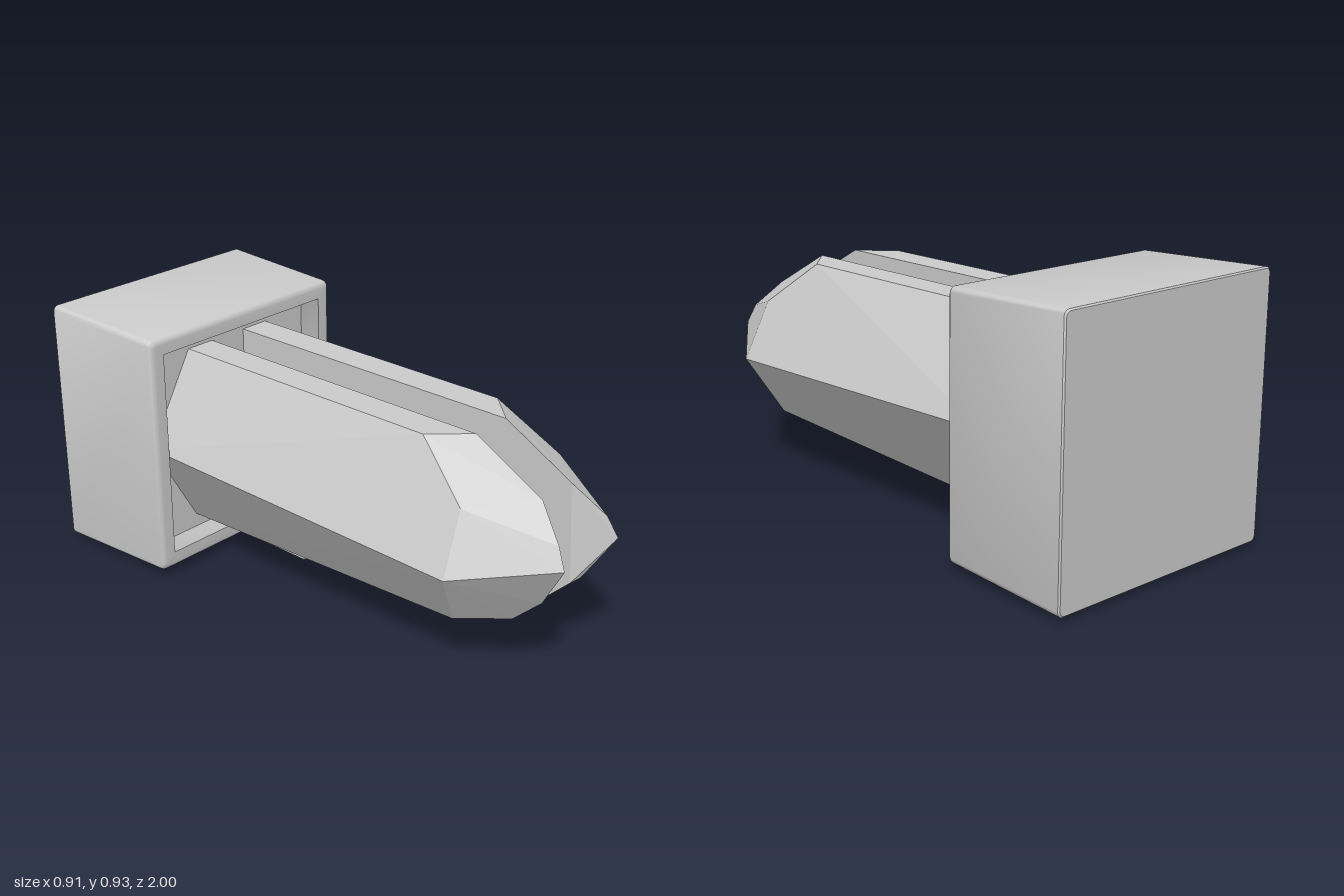
import * as THREE from 'three';
import { toCreasedNormals } from 'three/addons/utils/BufferGeometryUtils.js';
import { ConvexGeometry } from 'three/addons/geometries/ConvexGeometry.js';

const smooth = new THREE.MeshStandardMaterial({ color: 0xcccccc });
const faceted = new THREE.MeshStandardMaterial({ color: 0xcccccc, flatShading: true });

function addMesh(parent, name, geometry, material = smooth) {
  const mesh = new THREE.Mesh(geometry, material);
  mesh.name = name;
  parent.add(mesh);
  return mesh;
}

// Skin over a list of closed rings, each running anticlockwise as seen from +z
function loft(rings) {
  const n = rings[0].length;
  const index = [];
  for (let i = 0; i < rings.length - 1; i++) {
    for (let k = 0; k < n; k++) {
      const a = i * n + k, b = i * n + (k + 1) % n;
      index.push(a, b, a + n, b, b + n, a + n);
    }
  }
  const geometry = new THREE.BufferGeometry();
  geometry.setAttribute('position', new THREE.Float32BufferAttribute(rings.flat(2), 3));
  geometry.setIndex(index);
  return geometry;
}

// Square ring with rounded corners
function squareRing(z, half, radius) {
  const ring = [];
  for (let corner = 0; corner < 4; corner++) {
    const sx = corner === 0 || corner === 3 ? 1 : -1;
    const sy = corner < 2 ? 1 : -1;
    for (let s = 0; s <= 4; s++) {
      const t = (corner + s / 4) * Math.PI / 2;
      ring.push([
        sx * (half - radius) + radius * Math.cos(t),
        0.476 + sy * (half - radius) + radius * Math.sin(t),
        z,
      ]);
    }
  }
  return ring;
}

// Tapered block with a soft front rim and a shallow square recess
function housingGeometry() {
  const rings = [
    squareRing(-1, 0.0004, 0.0002),
    squareRing(-1, 0.45, 0.018),
    squareRing(-0.995, 0.455, 0.02),
  ];
  for (let s = 0; s <= 5; s++) {
    const t = s / 5 * Math.PI / 2;
    rings.push(squareRing(-0.52 + 0.02 * Math.sin(t), 0.418 + 0.022 * Math.cos(t), 0.02));
  }
  rings.push(
    squareRing(-0.5, 0.381, 0.0005),
    squareRing(-0.59, 0.381, 0.0005),
    squareRing(-0.59, 0.0004, 0.0002),
  );
  return toCreasedNormals(loft(rings), 0.6);
}

// Faceted prong, the side given by the sign
function prongGeometry(side) {
  const points = [
    // root section
    [0.077, 0.80, -0.59], [0.19, 0.80, -0.59], [0.381, 0.475, -0.59],
    [0.19, 0.145, -0.59], [0.077, 0.145, -0.59],
    // shoulder where the nose starts
    [0.077, 0.80, 0.60], [0.19, 0.80, 0.48], [0.26, 0.64, 0.69],
    [0.355, 0.435, 0.705], [0.232, 0.225, 0.65],
    // nose
    [0.077, 0.66, 0.86], [0.13, 0.56, 0.965], [0.145, 0.49, 1],
    [0.105, 0.325, 0.90], [0.077, 0.31, 0.88],
    [0.115, 0.232, 0.80], [0.077, 0.232, 0.80],
  ];
  return new ConvexGeometry(points.map(([x, y, z]) => new THREE.Vector3(side * x, y, z)));
}

// Spiral-ridged core, pressed flat between the prongs
function coreGeometry() {
  const rings = [];
  const steps = 22, sides = 36;
  for (let i = 0; i <= steps; i++) {
    const z = -0.58 + i / steps * 1.05;
    const ring = [];
    for (let k = 0; k < sides; k++) {
      const t = k / sides * Math.PI * 2;
      const fromTop = Math.PI / 2 - t;
      const wave = Math.sin(5 * (fromTop + 2.3 * z)) + 0.4 * Math.sin(11 * fromTop + 17 * z);
      const r = 0.2 + 0.022 * wave;
      ring.push([THREE.MathUtils.clamp(r * Math.cos(t), -0.076, 0.076), 0.475 + r * Math.sin(t), z]);
    }
    rings.push(ring);
  }
  return loft(rings).toNonIndexed();
}

// Blunt front end of the core
function coreNoseGeometry() {
  const points = [
    [0.076, 0.71, 0.42], [0.035, 0.71, 0.42], [-0.076, 0.66, 0.42],
    [-0.076, 0.25, 0.42], [0.076, 0.32, 0.42],
    [0.076, 0.64, 0.62], [-0.076, 0.60, 0.62],
    [0.076, 0.50, 0.76], [0.035, 0.50, 0.76], [-0.076, 0.41, 0.76],
    [0.076, 0.37, 0.70], [0, 0.295, 0.68], [-0.076, 0.29, 0.70],
  ];
  return new ConvexGeometry(points.map((p) => new THREE.Vector3(...p)));
}

// Plate with a raised border on the sloping underside
function basePlate() {
  const plate = new THREE.Group();
  plate.name = 'basePlate';
  addMesh(plate, 'panel', new THREE.BoxGeometry(0.59, 0.024, 0.40));
  for (const s of [-1, 1]) {
    addMesh(plate, 'borderLong', new THREE.BoxGeometry(0.60, 0.012, 0.012)).position.set(0, -0.012, s * 0.196);
    addMesh(plate, 'borderShort', new THREE.BoxGeometry(0.012, 0.012, 0.40)).position.set(s * 0.294, -0.012, 0);
  }
  plate.position.set(0, 0.0295, -0.755);
  plate.rotation.x = -0.032;
  return plate;
}

export function createModel() {
  const model = new THREE.Group();
  model.name = 'prongedPlug';

  addMesh(model, 'housing', housingGeometry());
  addMesh(model, 'leftProng', prongGeometry(1), faceted);
  addMesh(model, 'rightProng', prongGeometry(-1), faceted);
  addMesh(model, 'core', coreGeometry(), faceted);
  addMesh(model, 'coreNose', coreNoseGeometry(), faceted);
  model.add(basePlate());

  // Plain strip under the right prong
  addMesh(model, 'undersideStrip', new THREE.BoxGeometry(0.052, 0.034, 0.27))
    .position.set(-0.14, 0.157, -0.195);

  for (const part of model.children) {
    if (part.isMesh && part.material === faceted) part.geometry.computeVertexNormals();
  }
  return model;
}
